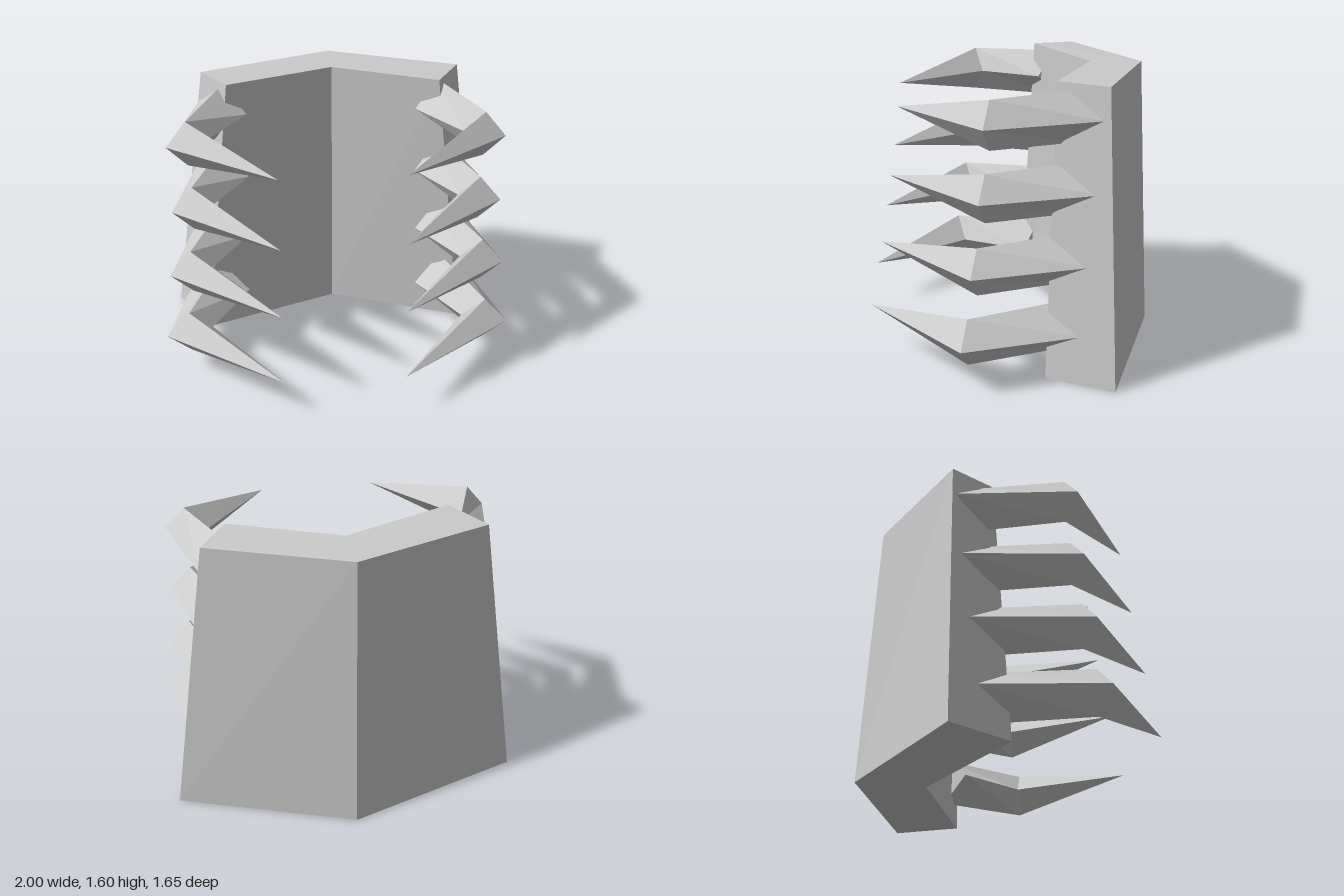
import * as THREE from 'three';

const material = new THREE.MeshStandardMaterial({ color: 0xcccccc, flatShading: true });

// Closed faceted solid through rings of equal size; the last ring may be a single point.
// Rings run counter-clockwise when seen from the far end.
function loft(name, rings) {
  const pos = [];
  const tri = (a, b, c) => pos.push(...a, ...b, ...c);
  const n = rings[0].length;
  for (let r = 0; r + 1 < rings.length; r++) {
    const a = rings[r], b = rings[r + 1];
    for (let i = 0; i < n; i++) {
      const j = (i + 1) % n;
      if (b.length === 1) tri(a[i], a[j], b[0]);
      else {
        tri(a[i], a[j], b[j]);
        tri(a[i], b[j], b[i]);
      }
    }
  }
  const first = rings[0], last = rings[rings.length - 1];
  for (let i = 1; i + 1 < n; i++) {
    tri(first[0], first[i + 1], first[i]);
    if (last.length > 1) tri(last[0], last[i], last[i + 1]);
  }
  const geometry = new THREE.BufferGeometry();
  geometry.setAttribute('position', new THREE.Float32BufferAttribute(pos, 3));
  geometry.computeVertexNormals();
  const mesh = new THREE.Mesh(geometry, material);
  mesh.name = name;
  return mesh;
}

// Four-sided ring: outer point, top, inner point, bottom; side mirrors it in x.
function diamond(side, y, outer, mid, half) {
  const ring = [
    [outer[0], y, outer[1]],
    [mid[0], y + half, mid[1]],
    [2 * mid[0] - outer[0], y, 2 * mid[1] - outer[1]],
    [mid[0], y - half, mid[1]],
  ].map(([x, h, z]) => [x * side, h, z]);
  return side > 0 ? ring : ring.reverse();
}

export function createModel() {
  const model = new THREE.Group();
  model.name = 'clawedShell';

  // Angled back plate, narrowing towards the top
  const bottom = [[0.02, 0, -0.83], [-0.98, 0, -0.48], [-0.78, 0, -0.13],
    [0.02, 0, -0.435], [0.80, 0, -0.13], [0.99, 0, -0.48]];
  const top = [[0.02, 1.585, -0.75], [-0.75, 1.585, -0.45], [-0.60, 1.60, -0.195],
    [0.02, 1.59, -0.455], [0.62, 1.59, -0.195], [0.77, 1.585, -0.45]];
  model.add(loft('backPlate', [bottom, top]));

  // Claw rows, bottom to top; pairs are [x, z]
  const rows = [
    { y: 0.26, root: [0.85, -0.33], rootMid: [0.685, -0.23], knuckle: [1.0, 0.33], mid: [0.87, 0.29], tip: 0.82 },
    { y: 0.64, root: [0.82, -0.375], rootMid: [0.665, -0.265], knuckle: [0.96, 0.275], mid: [0.84, 0.235], tip: 0.75 },
    { y: 1.025, root: [0.795, -0.41], rootMid: [0.645, -0.295], knuckle: [0.925, 0.23], mid: [0.81, 0.19], tip: 0.69 },
    { y: 1.41, root: [0.77, -0.43], rootMid: [0.63, -0.32], knuckle: [0.93, 0.205], mid: [0.82, 0.165], tip: 0.64 },
  ];
  for (const side of [1, -1]) {
    const claws = new THREE.Group();
    claws.name = side > 0 ? 'leftClaws' : 'rightClaws';
    for (const c of rows) {
      claws.add(loft('claw', [
        diamond(side, c.y, c.root, c.rootMid, 0.14),
        diamond(side, c.y, c.knuckle, c.mid, 0.13),
        [[side > 0 ? 0.325 : -0.34, c.y, c.tip]],
      ]));
    }
    model.add(claws);
  }
  return model;
}
